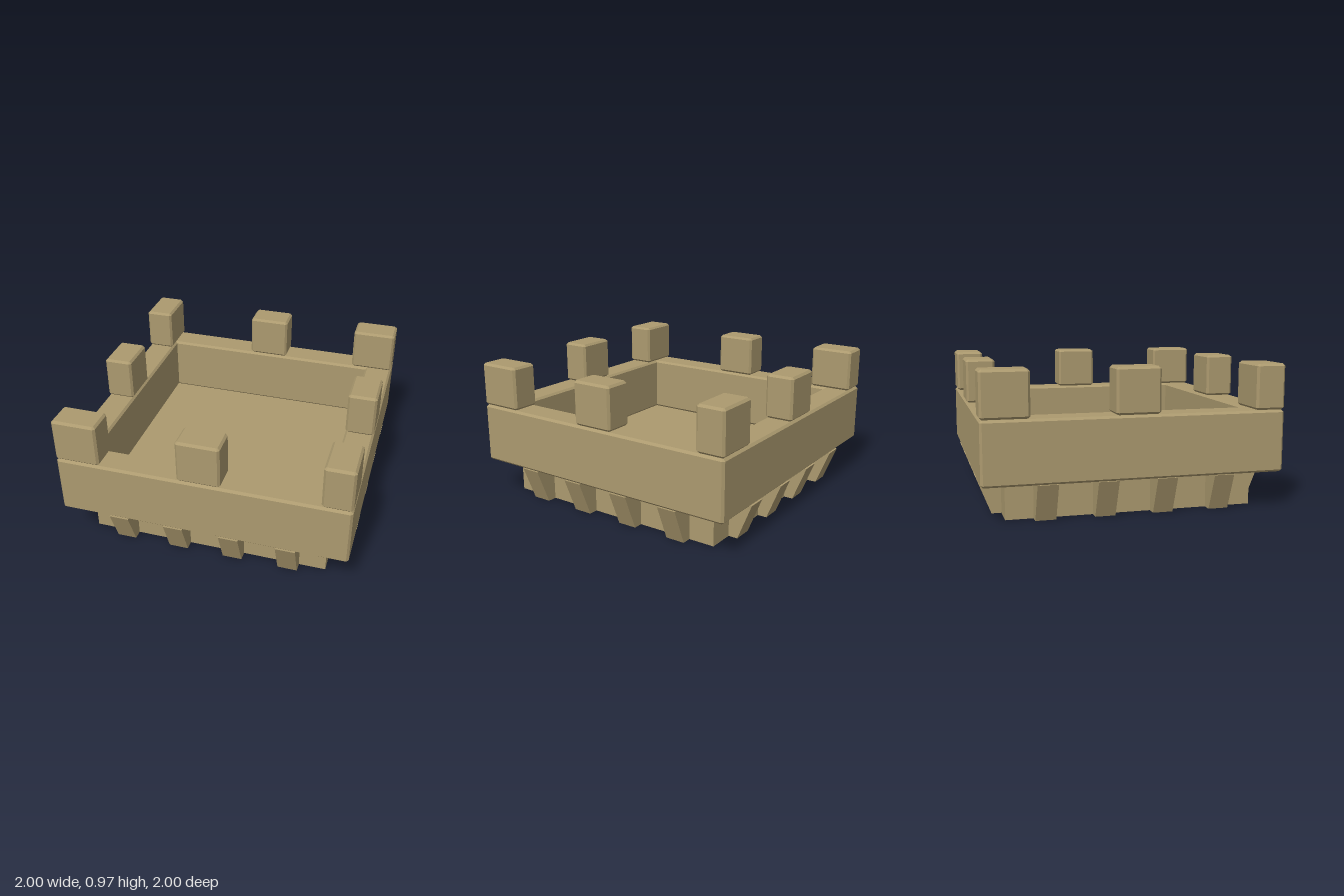
import * as THREE from 'three';

const BEVEL = 0.015;
const toPoints = (list) => list.map(([a, b]) => new THREE.Vector2(a, b));

// Rectangle outline with cut corners
function cutRect(w, d, c = BEVEL) {
  const x = w / 2, y = d / 2;
  return toPoints([[x - c, -y], [x, -y + c], [x, y - c], [x - c, y], [-x + c, y], [-x, y - c], [-x, -y + c], [-x + c, -y]]);
}

// Upright block with every edge chamfered, standing on y = 0
function chamferedBlock(shape, height) {
  return new THREE.ExtrudeGeometry(shape, {
    depth: height - 2 * BEVEL, bevelEnabled: true, bevelSegments: 1,
    bevelThickness: BEVEL, bevelSize: BEVEL, bevelOffset: -BEVEL,
  }).translate(0, 0, BEVEL).rotateX(-Math.PI / 2);
}

// Leave out the faces that point in the given directions
function openSides(geometry, ...directions) {
  const flat = geometry.index ? geometry.toNonIndexed() : geometry;
  const { position, normal } = flat.attributes;
  const n = new THREE.Vector3();
  const kept = [];
  for (let i = 0; i < position.count; i += 3) {
    n.fromBufferAttribute(normal, i);
    if (directions.every((d) => n.dot(d) < 0.98)) kept.push(i, i + 1, i + 2);
  }
  flat.clearGroups();
  flat.setIndex(kept);
  return flat;
}

export function createModel() {
  const stone = new THREE.MeshStandardMaterial({ color: 0xac9a6f, side: THREE.DoubleSide });
  stone.name = 'sandstone';
  const model = new THREE.Group();
  model.name = 'battlement';

  const add = (parent, name, geometry, x, y, z) => {
    const mesh = new THREE.Mesh(geometry, stone);
    mesh.name = name;
    mesh.position.set(x, y, z);
    parent.add(mesh);
  };
  const down = new THREE.Vector3(0, -1, 0), inward = new THREE.Vector3(0, 0, -1);

  // Hollow base, open below, whose top is the floor inside the walls
  add(model, 'base', openSides(new THREE.BoxGeometry(1.67, 0.25, 1.67), down), 0, 0.125, 0);

  // Square ring of parapet walls
  const ring = new THREE.Shape(cutRect(2, 2));
  const h = 0.8;
  ring.holes.push(new THREE.Path(toPoints([[-h, -h], [-h, h], [h, h], [h, -h]])));
  add(model, 'parapetWall', chamferedBlock(ring, 0.415), 0, 0.25, 0);

  // Merlons, and tapered corbels that are open below
  const cornerMerlon = chamferedBlock(new THREE.Shape(cutRect(0.312, 0.2)), 0.303);
  const middleMerlon = chamferedBlock(new THREE.Shape(cutRect(0.295, 0.2)), 0.303);
  const profile = new THREE.Shape(toPoints([[0.835, 0], [0.9, 0], [1, 0.25], [0.835, 0.25]]));
  const corbel = openSides(new THREE.ExtrudeGeometry(profile, { depth: 0.135, bevelEnabled: false })
    .translate(0, 0, -0.0675).rotateY(-Math.PI / 2), down, inward);

  // One side, turned around the tower four times
  ['front', 'left', 'back', 'right'].forEach((name, i) => {
    const side = new THREE.Group();
    side.name = name + 'Side';
    side.rotation.y = i * Math.PI / 2;
    add(side, 'cornerMerlon', cornerMerlon, -0.844, 0.667, 0.9);
    add(side, 'middleMerlon', middleMerlon, 0, 0.667, 0.9);
    for (const x of [-0.585, -0.195, 0.195, 0.585]) add(side, 'corbel', corbel, x, 0, 0);
    model.add(side);
  });
  return model;
}
